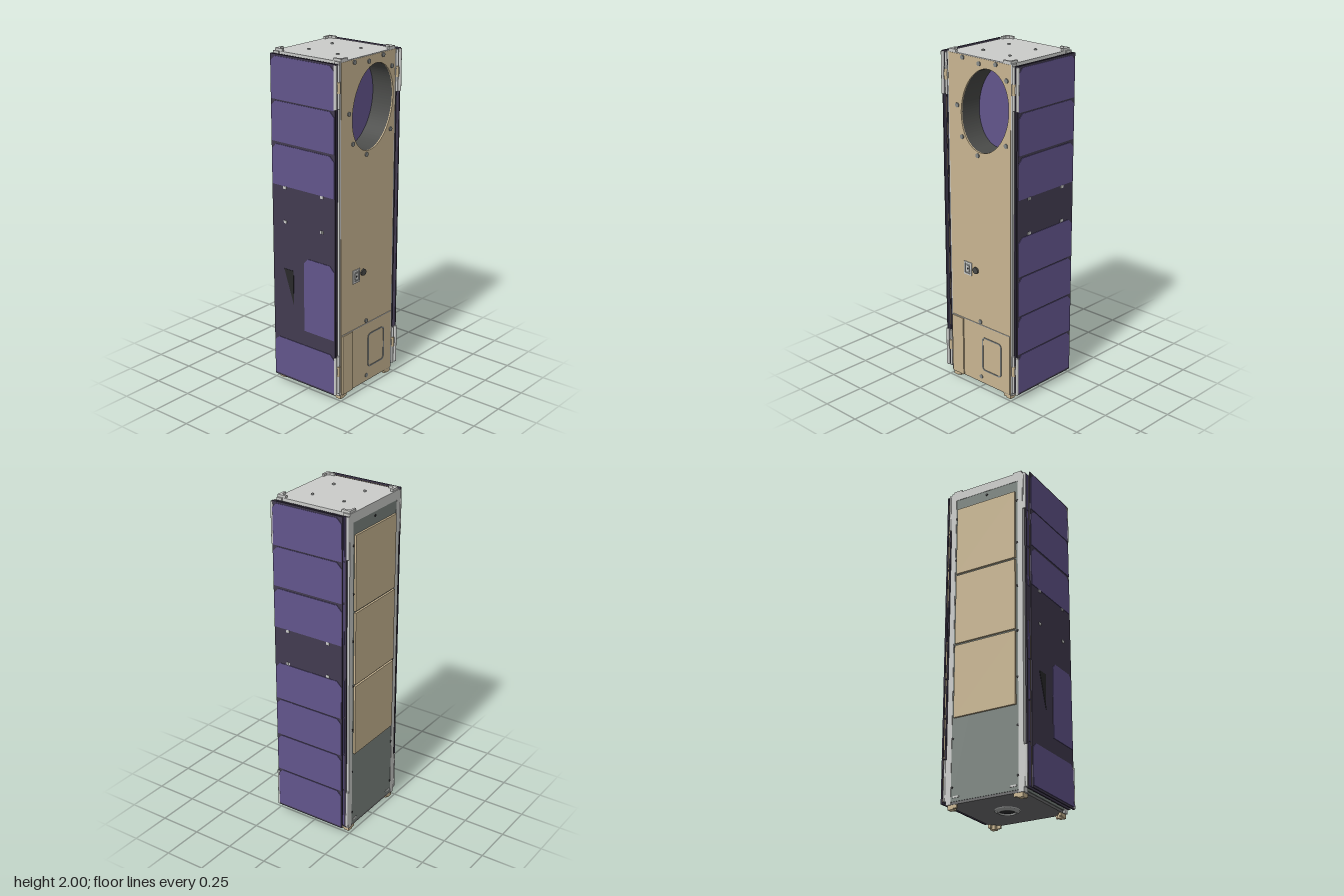
import * as THREE from 'three';

const material = (name, color) => new THREE.MeshStandardMaterial({ name, color });

export function createModel() {
  const tan = material('tan coating', 0xc9b692);
  const purple = material('solar cell purple', 0x62558c);
  const board = material('dark circuit board', 0x423b50);
  const light = material('light aluminium', 0xcbccca);
  const sage = material('grey green panel', 0x7c8580);
  const steel = material('steel grey', 0x858988);
  const dark = material('dark grey', 0x4a4b49);
  const base = material('base plate grey', 0x6c6c6d);
  const black = material('black', 0x29292b);
  const model = new THREE.Group();
  model.name = 'satellite';

  const add = (name, geometry, mat, x = 0, y = 0, z = 0, parent = model) => {
    const mesh = new THREE.Mesh(geometry, mat);
    mesh.name = name;
    mesh.position.set(x, y, z);
    parent.add(mesh);
    return mesh;
  };
  const box = (name, mat, x0, x1, y0, y1, z0, z1, parent = model) =>
    add(name, new THREE.BoxGeometry(Math.abs(x1 - x0), y1 - y0, z1 - z0), mat,
      (x0 + x1) / 2, (y0 + y1) / 2, (z0 + z1) / 2, parent);
  const extrude = (shape, depth) =>
    new THREE.ExtrudeGeometry(shape, { depth, bevelEnabled: false, curveSegments: 48 });
  const polygon = points => new THREE.Shape(points.map(p => new THREE.Vector2(...p)));
  const rect = (x0, x1, y0, y1) => polygon([[x0, y0], [x1, y0], [x1, y1], [x0, y1]]);
  const roundRect = (target, x0, x1, y0, y1, r) => {
    target.absarc(x1 - r, y1 - r, r, 0, Math.PI / 2);
    target.absarc(x0 + r, y1 - r, r, Math.PI / 2, Math.PI);
    target.absarc(x0 + r, y0 + r, r, Math.PI, Math.PI * 1.5);
    target.absarc(x1 - r, y0 + r, r, Math.PI * 1.5, Math.PI * 2);
    target.closePath();
    return target;
  };
  // Disc facing the front
  const disc = (name, mat, r, depth, x, y, z) =>
    add(name, new THREE.CylinderGeometry(r, r, depth, 20).rotateX(Math.PI / 2), mat, x, y, z);

  // Tilted oval aperture, cut through the front panel and the front of the core
  const oval = target => {
    target.absellipse(0.04, 1.69, 0.175, 0.244, 0, Math.PI * 2, false, -Math.PI / 12);
    return target;
  };
  const withOval = (x, y0, y1) => {
    const shape = rect(-x, x, y0, y1);
    shape.holes.push(oval(new THREE.Path()));
    return shape;
  };
  box('coreRear', dark, -0.234, 0.234, 0.035, 1.97, -0.232, 0.09);
  add('coreFront', extrude(withOval(0.234, 0.035, 1.97), 0.138), dark, 0, 0, 0.09);
  add('frontPanel', extrude(withOval(0.235, 0.03, 1.98), 0.008), tan, 0, 0, 0.228);
  add('apertureMirror', extrude(oval(new THREE.Shape()), 0.004), purple, 0, 0, 0.09);

  // Front panel details
  box('lowerFrontPlate', tan, -0.23, 0.23, 0.03, 0.4, 0.235, 0.239);
  box('lowerFrontStrip', tan, -0.23, -0.14, 0.03, 0.4, 0.236, 0.247);
  box('frontSeam', light, -0.23, 0.23, 0.399, 0.403, 0.235, 0.2395);
  const frame = roundRect(new THREE.Shape(), 0.01, 0.165, 0.112, 0.33, 0.025);
  frame.holes.push(roundRect(new THREE.Path(), 0.018, 0.157, 0.12, 0.322, 0.018));
  add('hatchFrame', extrude(frame, 0.003), steel, 0, 0, 0.239);
  for (const [x, y] of [[-0.125, 1.965], [0, 1.95], [0.125, 1.965], [0.205, 1.89], [-0.17, 1.69],
    [-0.135, 1.515], [-0.015, 1.43], [0.2, 1.53], [-0.005, 0.42], [0, 0.065]])
    disc('frontBolt', steel, 0.013, 0.006, x, y, 0.238);
  const socket = rect(-0.132, -0.07, 0.69, 0.77);
  socket.holes.push(rect(-0.122, -0.08, 0.7, 0.76));
  add('socketFrame', extrude(socket, 0.006), light, 0, 0, 0.235);
  box('socketBed', steel, -0.122, -0.08, 0.7, 0.76, 0.235, 0.238);
  box('socketCore', light, -0.113, -0.089, 0.712, 0.748, 0.236, 0.241);
  disc('socketPin', black, 0.006, 0.004, -0.101, 0.73, 0.2405);
  disc('switchKnob', dark, 0.02, 0.01, -0.037, 0.735, 0.24);
  box('switchLever', dark, -0.06, -0.03, 0.728, 0.742, 0.235, 0.243);

  // Back panel, radiator plates and screws
  box('backPanel', sage, -0.212, 0.212, 0.04, 1.93, -0.238, -0.23);
  box('backTopBand', light, -0.235, 0.235, 1.93, 1.98, -0.24, -0.225);
  for (let i = 0; i < 3; i++) {
    const y = 0.52 + i * 0.45;
    box('backPlate', tan, -0.198, 0.198, y, y + 0.438, -0.25, -0.236);
  }
  for (const x of [-0.207, 0, 0.207])
    for (const y of x ? [0.12, 0.4, 0.68, 0.96, 1.24, 1.52, 1.8] : [1.905])
      disc('backScrew', black, 0.007, 0.006, x, y, -0.238);
  for (const s of [-1, 1]) box('backTab', light, s * 0.2, s * 0.16, 0.06, 0.07, -0.241, -0.236);

  // Top plate with bolts
  box('topPlate', light, -0.235, 0.235, 1.965, 1.985, -0.24, 0.234);
  for (const x of [-0.1, 0.1]) for (const z of [-0.105, 0.1]) {
    add('topBoltRim', new THREE.CylinderGeometry(0.0085, 0.0085, 0.008, 20), steel, x, 1.986, z);
    add('topBolt', new THREE.CylinderGeometry(0.0065, 0.0065, 0.01, 20), light, x, 1.987, z);
  }

  // Base plate with round port
  box('basePlate', base, -0.235, 0.235, 0.025, 0.04, -0.235, 0.235);
  const ring = [[0.045, 0.028], [0.045, 0.008], [0.052, 0.008], [0.055, 0.018], [0.07, 0.018], [0.07, 0.028]];
  const port = add('basePortRing', new THREE.LatheGeometry(ring.map(p => new THREE.Vector2(...p)), 36), steel);
  port.material = material('port ring grey', 0xa2a4a3);
  port.material.side = THREE.DoubleSide;
  add('basePortCore', new THREE.CylinderGeometry(0.045, 0.045, 0.008, 36), black, 0, 0.022, 0);

  // Corner brackets on top and feet underneath
  for (const sx of [-1, 1]) for (const sz of [-1, 1]) {
    const pts = [[0.234, 0.234], [0.178, 0.234], [0.178, 0.221], [0.205, 0.221], [0.219, 0.207],
      [0.219, 0.18], [0.234, 0.18]].map(([x, z]) => [sx * x, sz * z]);
    const bracket = extrude(polygon(pts), 0.016).rotateX(-Math.PI / 2).scale(1, 1, 1);
    add('topBracket', bracket, light, 0, 1.983, 0);
    add('foot', extrude(polygon(pts), 0.022).rotateX(-Math.PI / 2), tan, 0, 0.006, 0);
    box('footPad', tan, sx * 0.2, sx * 0.234, 0, 0.026, sz * 0.217 - 0.017, sz * 0.217 + 0.017);
  }

  // Solar cell with clipped upper corners, facing outwards on side s
  const cell = (name, s, x, zc, w, y0, y1, mat, parent, clip = 0.03) => {
    const h = w / 2;
    const shape = polygon([[-h, y0], [h, y0], [h, y1 - clip], [h - clip, y1], [clip - h, y1], [-h, y1 - clip]]);
    add(name, extrude(shape, 0.003).rotateY(s * Math.PI / 2), mat, s * x, 0, zc, parent);
  };
  const rows = [[1.73, 1.97], [1.49, 1.722], [1.238, 1.475], [0.785, 1.015], [0.545, 0.777], [0.305, 0.537], [0.058, 0.297]];

  // Folded solar wings with rails and hinges, one on each side
  for (const s of [-1, 1]) {
    const wing = new THREE.Group();
    wing.name = s > 0 ? 'leftWing' : 'rightWing';
    model.add(wing);
    const part = (name, mat, x0, x1, y0, y1, z0, z1) => box(name, mat, s * x0, s * x1, y0, y1, z0, z1, wing);
    const pin = (name, mat, r, x, y0, y1, z) =>
      add(name, new THREE.CylinderGeometry(r, r, y1 - y0, 16), mat, s * x, (y0 + y1) / 2, z, wing);

    part('backRail', light, 0.212, 0.244, 0.025, 1.985, -0.24, -0.2);
    part('frontRail', light, 0.235, 0.246, 0.025, 1.985, 0.2, 0.234);
    part('sidePanel', sage, 0.234, 0.24, 0.04, 1.96, -0.2, 0.2);
    part('innerBoard', board, 0.254, 0.262, 0.045, 1.975, -0.232, 0.228);
    part('outerBoard', board, 0.279, 0.287, 0.045, 1.98, -0.222, 0.236);
    for (const [y0, y1] of rows) {
      part('innerTanCell', tan, 0.249, 0.254, y0, y1, -0.22, 0.215);
      part('innerPurpleCell', purple, 0.262, 0.265, y0, y1, -0.22, 0.215);
      part('outerTanCell', tan, 0.272, 0.279, y0, y1, -0.215, 0.215);
    }
    const outerRows = s > 0 ? rows : [...rows.slice(0, 3), rows[6]];
    for (const [y0, y1] of outerRows) cell('outerCell', s, 0.287, 0.007, 0.45, y0, y1, purple, wing);
    for (const y of [1.018, 1.222]) for (const z of [0.15, 0.138, -0.122, -0.132])
      part('cellTab', light, 0.287, 0.291, y, y + 0.016, z - 0.005, z + 0.005);

    // Hinges
    for (const [y0, y1, c] of [[1.735, 1.975, 1.85], [0.05, 0.285, 0.19]]) {
      pin('outerHingePin', light, 0.009, 0.283, y0, y1, 0.235);
      pin('innerHingePin', tan, 0.011, 0.256, c - 0.03, c + 0.03, 0.235);
      pin('innerHingeSleeve', light, 0.007, 0.256, y0, y1, 0.235);
      part('hingeLink', light, 0.24, 0.283, c - 0.02, c + 0.02, 0.231, 0.237);
      pin('rearHingePin', light, 0.007, 0.256, y0, y1, -0.235);
      part('rearHingeLink', light, 0.235, 0.256, y0, y1, -0.239, -0.232);
    }
  }

  // Upright cell and triangular cut mark on the sparse wing
  cell('uprightCell', -1, 0.287, 0.12, 0.22, 0.39, 0.84, purple, model.getObjectByName('rightWing'));
  const mark = polygon([[-0.14, 0.74], [-0.07, 0.53], [-0.07, 0.74]]);
  add('triangleMark', extrude(mark, 0.002).rotateY(-Math.PI / 2), black, -0.287, 0, 0);

  return model;
}
